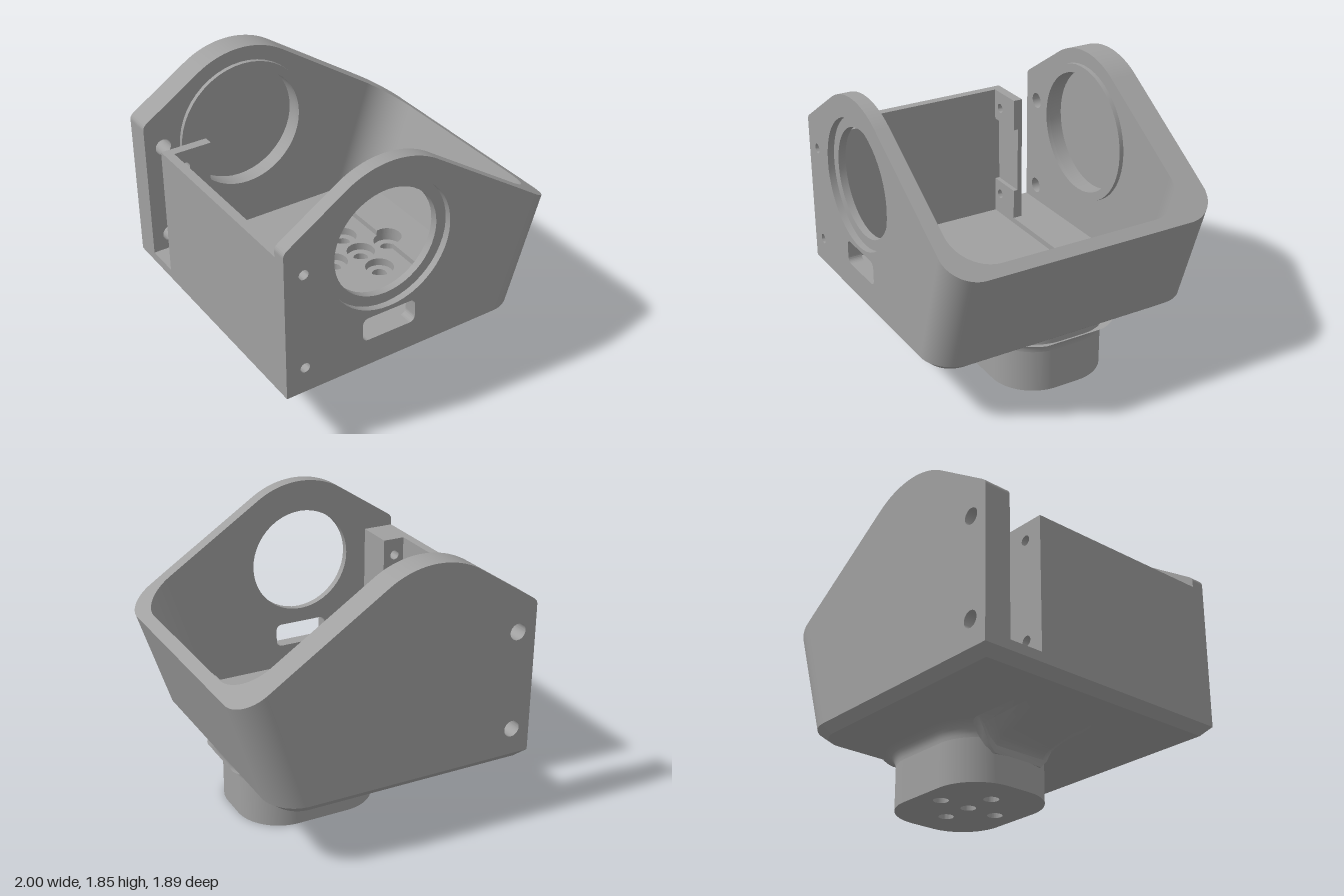
import * as THREE from 'three';
import { toCreasedNormals } from 'three/addons/utils/BufferGeometryUtils.js';

const V = (x, y, z) => new THREE.Vector3(x, y, z);
const SEG = 24;

// slanted end face: outer x at height y
const endX = (y) => 1 - 0.329 * (1.13 - y);
// height of the sloping rim at a distance d from the end face (d <= 0)
const rimY = (d) => 1.13 - 0.544 * d;
const JOIN = -0.35; // where side walls meet the rounded end

function addHoles(shape, circles) {
  for (const [x, y, r] of circles) {
    shape.holes.push(new THREE.Path().absarc(x, y, r, 0, Math.PI * 2, true));
  }
  return shape;
}

function extrude(shape, depth) {
  return new THREE.ExtrudeGeometry(shape, { depth, bevelEnabled: false, curveSegments: SEG });
}

// surface through rows of points
function surface(rows) {
  const n = rows[0].length, idx = [];
  for (let i = 0; i < rows.length - 1; i++) {
    for (let j = 0; j < n - 1; j++) {
      const a = i * n + j, b = a + 1, c = a + n, d = c + 1;
      idx.push(a, b, d, a, d, c);
    }
  }
  const g = new THREE.BufferGeometry().setFromPoints(rows.flat());
  g.setIndex(idx);
  return g;
}

// side wall profile in x, y
function wallShape() {
  const s = new THREE.Shape();
  const a = THREE.MathUtils.degToRad(56.5);
  s.moveTo(-1, 0.45);
  s.lineTo(endX(0.45) + JOIN, 0.45);
  s.lineTo(endX(rimY(JOIN)) + JOIN, rimY(JOIN));
  s.absarc(-0.27, 1.27, 0.58, a, Math.PI - a, false);
  s.lineTo(-0.965, 1.51);
  s.quadraticCurveTo(-1, 1.49, -1, 1.46);
  return s;
}

function rectShape(x0, y0, x1, y1, r = 0) {
  const s = new THREE.Shape();
  if (!r) {
    s.moveTo(x0, y0).lineTo(x1, y0).lineTo(x1, y1).lineTo(x0, y1);
    return s;
  }
  s.moveTo(x0 + r, y0);
  s.absarc(x1 - r, y0 + r, r, -Math.PI / 2, 0, false);
  s.absarc(x1 - r, y1 - r, r, 0, Math.PI / 2, false);
  s.absarc(x0 + r, y1 - r, r, Math.PI / 2, Math.PI, false);
  s.absarc(x0 + r, y0 + r, r, Math.PI, Math.PI * 1.5, false);
  return s;
}

// base outline in x, -z at height y
function baseShape(inset, y) {
  const x = endX(y) - inset, h = 0.945 - inset, r = 0.22 - inset;
  const s = new THREE.Shape();
  s.moveTo(-1 + inset, -h);
  s.lineTo(x - r, -h);
  s.absarc(x - r, -h + r, r, -Math.PI / 2, 0, false);
  s.absarc(x - r, h - r, r, 0, Math.PI / 2, false);
  s.lineTo(-1 + inset, h);
  s.closePath();
  return s;
}

const loop = (shape, y) => shape.getPoints(SEG).map((p) => V(p.x, y, -p.y));

// plan path of the rounded end as [distance from end face, z]
function endPath(d, zf, zb, r) {
  const pts = [[JOIN, zf]];
  for (let i = 0; i <= SEG; i++) {
    const t = Math.PI / 2 * (1 - i / SEG);
    pts.push([d - r + r * Math.cos(t), zf - r + r * Math.sin(t)]);
  }
  for (let i = 0; i <= SEG; i++) {
    const t = -Math.PI / 2 * i / SEG;
    pts.push([d - r + r * Math.cos(t), zb + r + r * Math.sin(t)]);
  }
  pts.push([JOIN, zb]);
  return pts;
}

export function createModel() {
  const group = new THREE.Group();
  group.name = 'motorBracket';
  const grey = new THREE.MeshStandardMaterial({ color: 0xa0a0a0, side: THREE.DoubleSide });
  grey.name = 'grey';

  function add(name, geo) {
    const mesh = new THREE.Mesh(toCreasedNormals(geo, 0.5), grey);
    mesh.name = name;
    group.add(mesh);
  }
  const upright = (name, shape, z0, z1) => add(name, extrude(shape, z1 - z0).translate(0, 0, z0));
  const flat = (name, shape, y0, y1) =>
    add(name, extrude(shape, y1 - y0).rotateX(-Math.PI / 2).translate(0, y0, 0));

  const screws = (r) => [[-0.87, 1.3, r], [-0.87, 0.63, r]];

  // front wall: round opening with a shallow counterbore, and a slot
  for (const [name, r, z0, z1] of [['frontWallInner', 0.365, 0.85, 0.9], ['frontWallOuter', 0.435, 0.9, 0.945]]) {
    const s = addHoles(wallShape(), [[-0.27, 1.27, r], ...screws(0.033)]);
    s.holes.push(rectShape(-0.46, 0.64, -0.075, 0.805, 0.04));
    upright(name, s, z0, z1);
  }

  // back wall: blind round seat with a raised ring
  upright('backWallOuter', addHoles(wallShape(), screws(0.055)), -0.945, -0.85);
  upright('backWallInner', addHoles(wallShape(), [[-0.27, 1.27, 0.42], ...screws(0.055)]), -0.85, -0.76);
  const ring = new THREE.Shape().absarc(-0.27, 1.27, 0.48, 0, Math.PI * 2, false);
  upright('seatRing', addHoles(ring, [[-0.27, 1.27, 0.42]]), -0.76, -0.73);

  // rounded, slanted end wall
  const outer = endPath(0, 0.945, -0.945, 0.22);
  const inner = endPath(-0.085, 0.85, -0.76, 0.265);
  const at = (path, y) => path.map(([d, z]) => V(endX(y) + d, y, z));
  const rim = (path) => path.map(([d, z]) => V(endX(rimY(d)) + d, rimY(d), z));
  add('endWallOuter', surface([rim(outer), at(outer, 0.45)].reverse()));
  add('endWallRim', surface([rim(outer), rim(inner)]));
  add('endWallInner', surface([rim(inner), at(inner, 0.45)]));

  // left wall, corner block and return wall with screw tabs
  add('leftWall', new THREE.BoxGeometry(0.06, 0.97, 1.37).translate(-0.97, 0.935, 0.165));
  upright('cornerBlock', addHoles(rectShape(-1, 0.45, -0.785, 1.42), screws(0.033)), 0.57, 0.85);
  upright('returnWall', addHoles(rectShape(-1, 0.45, -0.68, 1.42), screws(0.033)), -0.52, -0.487);
  upright('upperTab', addHoles(rectShape(-0.96, 1.2, -0.68, 1.42), screws(0.033).slice(0, 1)), -0.487, -0.455);
  upright('lowerTab', addHoles(rectShape(-0.96, 0.45, -0.68, 0.73), screws(0.033).slice(1)), -0.487, -0.455);

  // base with chamfered underside and five counterbores
  const CX = 0.207, CZ = -0.05, P = 0.223;
  const bolts = (r) => [[0, 0], [P, 0], [-P, 0], [0, P], [0, -P]].map(([x, z]) => [CX + x, -CZ + z, r]);
  flat('baseFloor', addHoles(baseShape(0.06, 0.39), bolts(0.097)), 0.39, 0.475);
  add('baseChamfer', surface([loop(baseShape(0.06, 0.39), 0.39), loop(baseShape(0, 0.45), 0.45)]));

  // raised floor around the sunken rectangle
  const f = new THREE.Shape();
  f.moveTo(-1, 0.455).lineTo(0.405, 0.455);
  const nx = CX + P, a = Math.acos((0.405 - nx) / 0.097);
  f.absarc(nx, -CZ, 0.097, a, -a, true);
  f.lineTo(0.405, -0.88).lineTo(0.55, -0.88).lineTo(0.74, -0.7).lineTo(0.74, 0.65);
  f.lineTo(0.55, 0.82).lineTo(-1, 0.82);
  flat('raisedFloor', f, 0.45, 0.515);

  // stem with bolt holes
  const stem = (o) => rectShape(-0.268 - o, -0.34 - o, 0.68 + o, 0.43 + o, 0.3 + o);
  flat('stem', addHoles(stem(0), bolts(0.05)), 0, 0.42);

  // fillet between stem and base
  const rows = [];
  for (let i = 0; i <= 8; i++) {
    const t = Math.PI / 2 * i / 8;
    rows.push(loop(stem(0.1 * (1 - Math.cos(t))), 0.29 + 0.1 * Math.sin(t))
      .map((p) => V(Math.min(p.x, 0.76), p.y, p.z)));
  }
  rows.forEach((r) => r.push(r[0].clone()));
  add('stemFillet', surface(rows));

  // sloping rib from the stem to the base underside
  const rib = [[-0.8, 0.389], [-0.6, 0.34], [-0.36, 0.285], [-0.31, 0.265], [-0.28, 0.235], [-0.267, 0.19], [-0.2, 0.19]];
  add('stemRib', surface(rib.map(([x, y]) =>
    [-0.34, -0.29, -0.24, -0.19, 0.19, 0.24, 0.29, 0.34].map((z) => {
      const k = THREE.MathUtils.smoothstep(Math.abs(z), 0.19, 0.34);
      return V(x, y + (0.39 - y) * k, z - 0.045);
    }))));

  return group;
}
